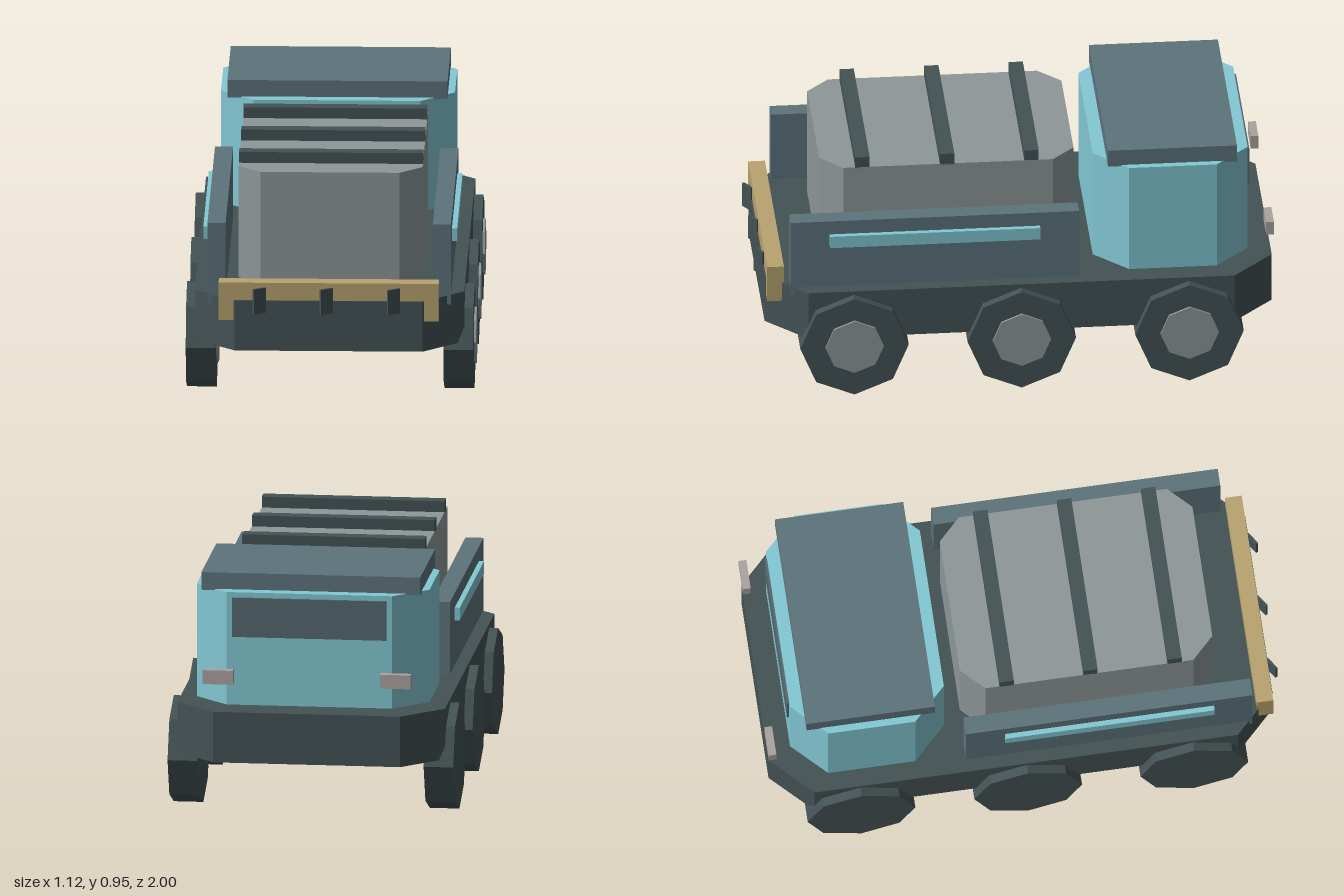
import * as THREE from 'three';

const flat = (name, color) => {
  const m = new THREE.MeshStandardMaterial({ color, flatShading: true });
  m.name = name;
  return m;
};

export function createModel() {
  const charcoal = flat('charcoal', 0x445255);
  const slate = flat('slate', 0x5d737c);
  const glass = flat('darkGlass', 0x55676f);
  const cyan = flat('cyan', 0x82c8d4);
  const grey = flat('grey', 0x8f9799);
  const sand = flat('sand', 0xb8a36e);
  const stone = flat('stone', 0xaaa39f);

  const model = new THREE.Group();
  model.name = 'truck';
  const body = new THREE.Group();
  body.name = 'body';
  body.position.x = -0.005;
  model.add(body);

  const add = (name, geometry, material, x = 0, y = 0, z = 0) => {
    const mesh = new THREE.Mesh(geometry, material);
    mesh.name = name;
    mesh.position.set(x, y, z);
    body.add(mesh);
    return mesh;
  };

  // Box given by its centre x, width, and y and z ranges
  const box = (name, material, x, w, y0, y1, z0, z1) =>
    add(name, new THREE.BoxGeometry(w, y1 - y0, z1 - z0), material, x, (y0 + y1) / 2, (z0 + z1) / 2);

  // Upright prism with chamfered vertical corners
  const prism = (name, material, hx, y0, y1, z0, z1, c) => {
    const hz = (z1 - z0) / 2;
    const shape = new THREE.Shape([
      [hx, -hz + c], [hx, hz - c], [hx - c, hz], [-hx + c, hz],
      [-hx, hz - c], [-hx, -hz + c], [-hx + c, -hz], [hx - c, -hz],
    ].map(([x, y]) => new THREE.Vector2(x, y)));
    const g = new THREE.ExtrudeGeometry(shape, { depth: y1 - y0, bevelEnabled: false });
    g.rotateX(-Math.PI / 2);
    return add(name, g, material, 0, y0, (z0 + z1) / 2);
  };

  // Chassis, cab and cargo block
  prism('chassis', charcoal, 0.52, 0.235, 0.435, -0.995, 0.97, 0.157);
  prism('cab', cyan, 0.452, 0.445, 0.89, -0.905, -0.305, 0.13);
  box('cabRoof', slate, 0, 0.85, 0.885, 0.955, -0.855, -0.355);
  box('cabWindow', glass, 0, 0.6, 0.715, 0.87, -0.914, -0.905);
  prism('cargo', grey, 0.355, 0.445, 0.89, -0.235, 0.75, 0.087);
  for (const z of [0.59, 0.262, -0.065])
    box('cargoRib', charcoal, 0, 0.71, 0.885, 0.933, z - 0.028, z + 0.028);

  // Bumper with three angled hooks
  box('bumper', sand, 0, 0.85, 0.355, 0.505, 0.9, 0.965);
  for (const x of [-0.267, -0.008, 0.251])
    add('hook', new THREE.BoxGeometry(0.055, 0.1, 0.01), charcoal, x, 0.437, 0.981).rotation.y = 0.6;

  const wheel = new THREE.CylinderGeometry(0.21, 0.21, 0.115, 8).rotateZ(Math.PI / 2);
  const hub = new THREE.CylinderGeometry(0.113, 0.113, 0.02, 8).rotateZ(Math.PI / 2);
  for (const s of [-1, 1]) {
    // Side walls, light strips and end lamps
    box('sideWall', slate, s * 0.435, 0.07, 0.4, 0.72, -0.24, 0.878);
    box('sideStrip', cyan, s * 0.479, 0.022, 0.613, 0.663, -0.088, 0.727);
    box('endLamp', stone, s * 0.345, 0.118, 0.545, 0.6, -1, -0.97);
    // Wheels, each with its hub on the +x face
    for (const z of [0.638, -0.01, -0.66]) {
      add('wheel', wheel, charcoal, s * 0.4975, 0.21, z);
      add('hub', hub, grey, s * 0.4975 + 0.0565, 0.213, z);
    }
  }
  return model;
}
